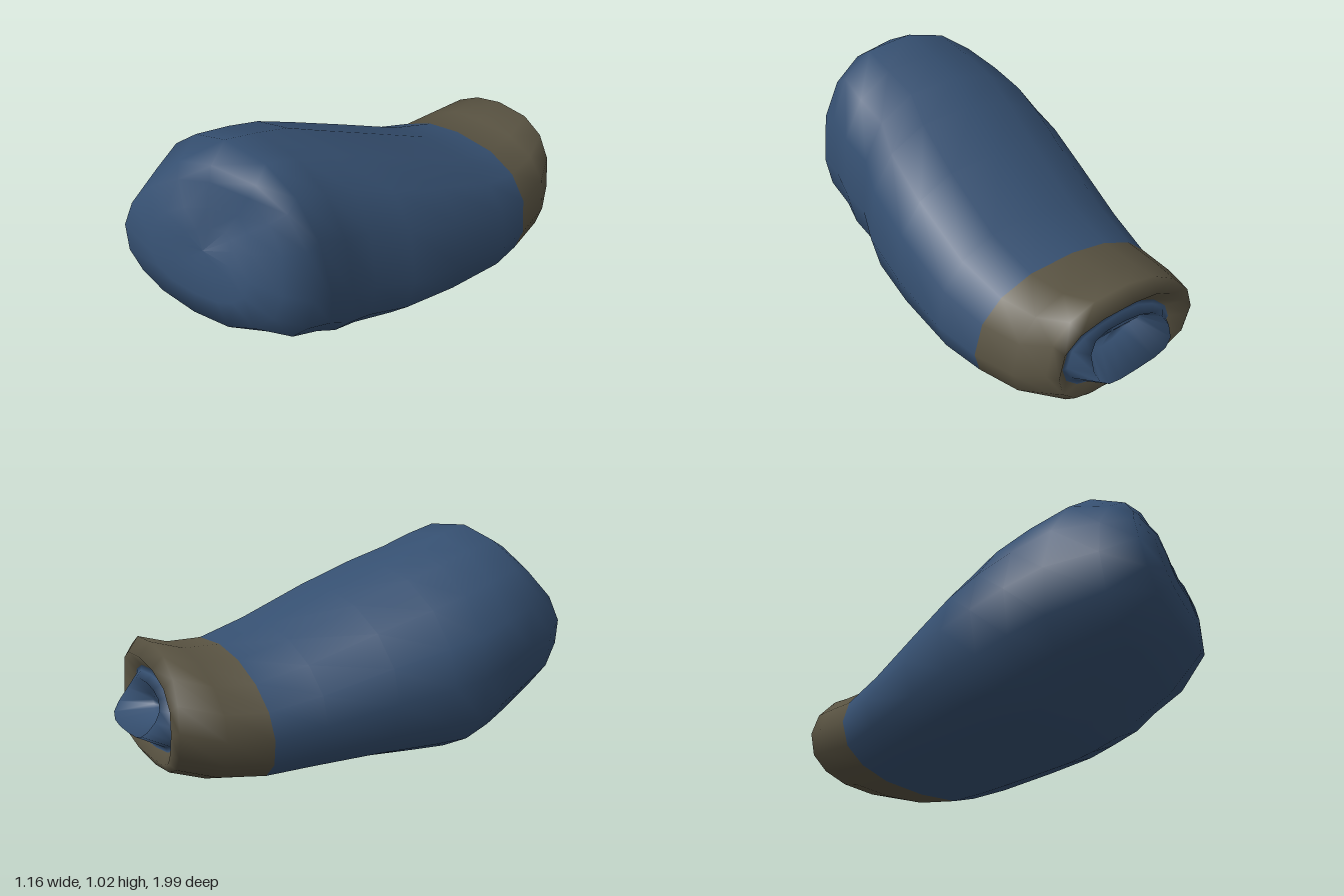
import * as THREE from 'three';

const SIDES = 16;

// Cross-sections from the tucked rear, over the collar, along the body to the front cap.
// [z, xMin, xMax, yMin, yMax, z slope along x, z slope along y, wobble]
const LINING = [
  [-0.83, 0.07, 0.07, 0.31, 0.31, 0, 0, 0],
  [-0.83, -0.08, 0.22, 0.27, 0.36, 0, 0, 0.012],
  [-0.95, -0.14, 0.28, 0.22, 0.42, 0, 0.5, 0.008],
  [-0.875, -0.18, 0.33, 0.16, 0.45, 0.05, 0, 0.01],
];
const COLLAR = [
  [-0.87, -0.20, 0.35, 0.14, 0.47, 0.05, 0, 0.008],
  [-0.91, -0.27, 0.40, 0.10, 0.53, 0.06, -0.05, 0.01],
  [-0.88, -0.31, 0.43, 0.07, 0.59, 0.08, 0, 0.008],
  [-0.74, -0.385, 0.50, 0.03, 0.55, 0.03, 0, 0],
];
const BODY = [
  [-0.55, -0.41, 0.54, 0.003, 0.55, 0.03, -0.08, 0],
  [-0.35, -0.455, 0.58, 0.012, 0.62, 0, 0, 0],
  [-0.05, -0.52, 0.58, 0.02, 0.755, 0, 0, 0],
  [0.20, -0.575, 0.55, 0.02, 0.86, 0, 0, 0],
  [0.36, -0.585, 0.485, 0.02, 0.925, 0, 0, 0],
  [0.50, -0.565, 0.495, 0.06, 0.98, -0.02, 0.04, 0],
  [0.63, -0.525, 0.48, 0.11, 1.025, -0.08, 0.1, 0],
  [0.775, -0.44, 0.485, 0.20, 0.975, -0.2, 0, 0.008],
  [0.885, -0.36, 0.42, 0.33, 0.91, -0.25, -0.22, 0.008],
  [0.91, -0.19, 0.30, 0.45, 0.82, -0.25, -0.22, 0],
  [0.905, -0.05, 0.20, 0.56, 0.74, -0.25, -0.22, 0],
  [0.90, 0.07, 0.07, 0.65, 0.65, -0.25, -0.22, 0],
];

const power = (t, p) => Math.sign(t) * Math.pow(Math.abs(t), p);

function ringPoints([z, x0, x1, y0, y1, slopeX, slopeY, wobble], out) {
  const cx = (x0 + x1) / 2, rx = (x1 - x0) / 2;
  const cy = y0 + 0.43 * (y1 - y0); // widest below the middle
  for (let j = 0; j < SIDES; j++) {
    const a = (j / SIDES) * Math.PI * 2;
    const cos = Math.cos(a), sin = Math.sin(a);
    // fuller underneath and on the +x shoulder, sloping on the other shoulder
    const p = sin < 0 || cos > 0 ? 0.82 : 1;
    const c = power(cos, p), s = power(sin, p);
    const x = cx + rx * c;
    const y = s > 0 ? cy + (y1 - cy) * s * (1 + 0.13 * c) : cy + (cy - y0) * s;
    let pz = z + slopeX * (x - cx) + slopeY * (y - cy) + wobble * Math.sin(3 * a + z * 20);
    // soft dent in the front cap
    if (z > 0.85) pz -= 0.06 * Math.exp(-((x - 0.16) ** 2 + (y - 0.8) ** 2) / 0.015);
    out.push(x, y, pz);
  }
}

export function createModel() {
  const blue = new THREE.MeshStandardMaterial({ color: 0x354f70, side: THREE.DoubleSide });
  blue.name = 'blueCloth';
  const brown = new THREE.MeshStandardMaterial({ color: 0x585241, side: THREE.DoubleSide });
  brown.name = 'brownCloth';

  // One continuous skin so the shading flows across the colour borders
  const rings = [...LINING, ...COLLAR, ...BODY];
  const points = [];
  rings.forEach((r) => ringPoints(r, points));

  const bands = (from, to) => {
    const index = [];
    for (let i = from; i < to; i++) {
      for (let j = 0; j < SIDES; j++) {
        const k = (j + 1) % SIDES;
        const a = i * SIDES + j, b = i * SIDES + k;
        const c = b + SIDES, d = a + SIDES;
        index.push(a, b, c, a, c, d);
      }
    }
    return index;
  };

  const skin = new THREE.BufferGeometry();
  skin.setAttribute('position', new THREE.Float32BufferAttribute(points, 3));
  skin.setIndex(bands(0, rings.length - 1));
  skin.computeVertexNormals();

  const group = new THREE.Group();
  group.name = 'clothRoll';
  const addPart = (name, from, to, material) => {
    const geometry = skin.clone();
    geometry.setIndex(bands(from, to));
    const mesh = new THREE.Mesh(geometry, material);
    mesh.name = name;
    group.add(mesh);
  };

  const collarStart = LINING.length, bodyStart = collarStart + COLLAR.length;
  addPart('tuckedLining', 0, collarStart, blue);
  addPart('collar', collarStart, bodyStart, brown);
  addPart('body', bodyStart, rings.length - 1, blue);
  return group;
}
